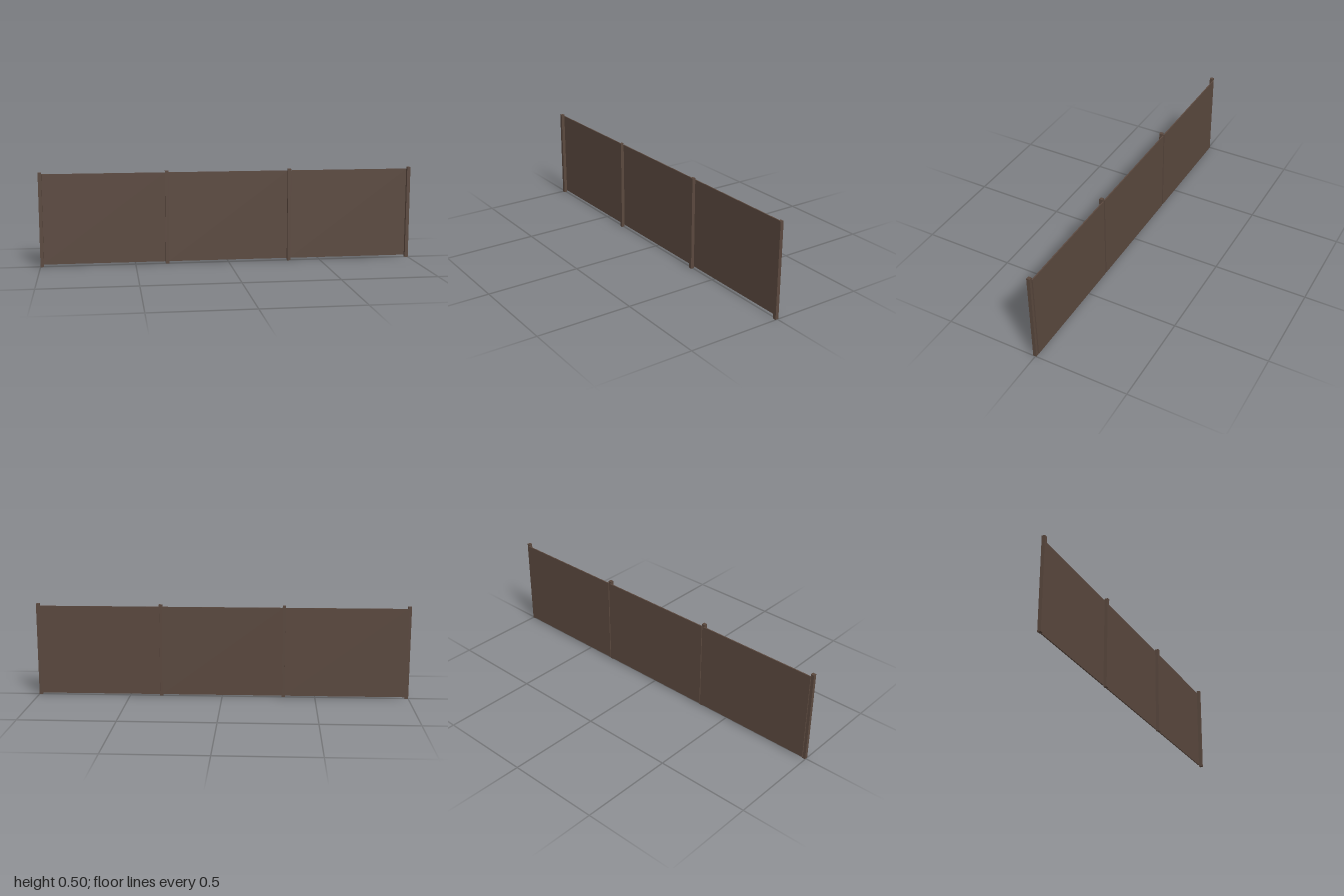
import * as THREE from 'three';

export function createModel() {
  const model = new THREE.Group();
  model.name = 'fence';
  const brown = new THREE.MeshStandardMaterial({ color: 0x5a483e });
  brown.name = 'dark brown';

  const addBox = (name, w, h, d, x, y, z) => {
    const mesh = new THREE.Mesh(new THREE.BoxGeometry(w, h, d), brown);
    mesh.name = name;
    mesh.position.set(x, y, z);
    model.add(mesh);
  };

  const postWidth = 0.018, height = 0.5;
  const pitch = (2 - postWidth) / 3;

  // Four square posts, evenly spaced
  for (let i = 0; i < 4; i++) {
    addBox('post', postWidth, height, 0.018, (i - 1.5) * pitch, height / 2, 0.003);
  }

  // Three thin panels fixed behind the posts, with a narrow gap at each joint
  for (let i = 0; i < 3; i++) {
    addBox('panel', 0.649, 0.48, 0.006, (i - 1) * pitch, height / 2, -0.009);
  }

  return model;
}
